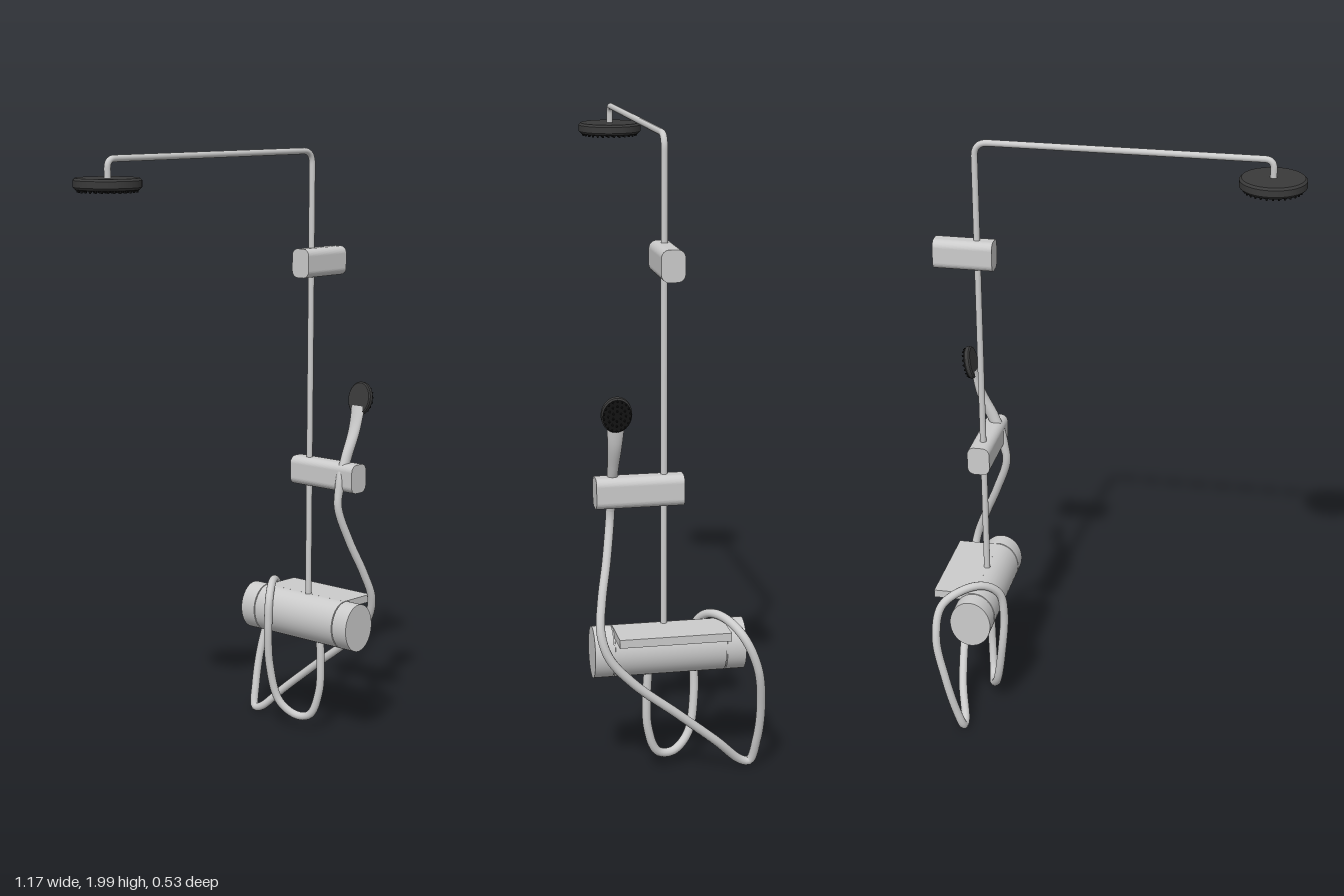
import * as THREE from 'three';

const grey = new THREE.MeshStandardMaterial({ color: 0xcccccc });
const dark = new THREE.MeshStandardMaterial({ color: 0x3a3a3a });
const black = new THREE.MeshStandardMaterial({ color: 0x151515 });
const V = (x, y, z) => new THREE.Vector3(x, y, z);
const POLE_X = 0.445, POLE_Z = 0.042;

function part(name, geometry, material = grey) {
  const mesh = new THREE.Mesh(geometry, material);
  mesh.name = name;
  return mesh;
}

// Bar with a rounded rectangular section, centred, running along z
function roundedBar(name, w, h, length, r) {
  const s = new THREE.Shape();
  const x = w / 2, y = h / 2, q = Math.PI / 2;
  s.absarc(x - r, y - r, r, 0, q);
  s.absarc(-x + r, y - r, r, q, 2 * q);
  s.absarc(-x + r, -y + r, r, 2 * q, 3 * q);
  s.absarc(x - r, -y + r, r, 3 * q, 4 * q);
  const g = new THREE.ExtrudeGeometry(s, { depth: length, bevelEnabled: false, curveSegments: 8 });
  return part(name, g.translate(0, 0, -length / 2));
}

// Pipe running through corners, each rounded by its own radius
function bentPipe(points, bends) {
  const path = new THREE.CurvePath();
  let from = points[0];
  bends.forEach((r, i) => {
    const c = points[i + 1];
    const a = c.clone().add(points[i].clone().sub(c).setLength(r));
    const b = c.clone().add(points[i + 2].clone().sub(c).setLength(r));
    path.add(new THREE.LineCurve3(from, a));
    path.add(new THREE.QuadraticBezierCurve3(a, c, b));
    from = b;
  });
  path.add(new THREE.LineCurve3(from, points[points.length - 1]));
  return new THREE.TubeGeometry(path, 300, 0.0105, 14);
}

// Spray head: disc facing -y with rings of nozzles
function sprayHead(name, radius, height, rings, nozzle) {
  const group = new THREE.Group();
  group.name = name;
  const h = height / 2, e = height * 0.2;
  const profile = [[0, -h], [radius - e, -h], [radius, -h + e], [radius, h - e], [radius - e, h], [0, h]];
  const points = [];
  // Repeated corners keep the edges crisp
  profile.forEach(([x, y], i) => {
    points.push(new THREE.Vector2(x, y));
    if (i > 0 && i < 5) points.push(new THREE.Vector2(x, y + 1e-5));
  });
  group.add(part('headDisc', new THREE.LatheGeometry(points, 40), dark));
  group.add(part('headFace', new THREE.CylinderGeometry(radius * 0.92, radius * 0.92, 0.004, 40).translate(0, -h, 0), black));
  for (let k = 1; k <= rings; k++) {
    const ringRadius = (radius * 0.86 * k) / rings;
    for (let i = 0; i < k * 6; i++) {
      const a = (i / (k * 6)) * Math.PI * 2;
      const n = part('nozzle', new THREE.CylinderGeometry(nozzle, nozzle * 0.7, nozzle * 2.4, 8), black);
      n.position.set(Math.cos(a) * ringRadius, -h - nozzle, Math.sin(a) * ringRadius);
      group.add(n);
    }
  }
  return group;
}

// Tube whose section (width in z, depth across) varies along a path lying in an x-y plane
function taperedTube(path, sizes, n = 24, sides = 18) {
  const pos = [], index = [];
  for (let i = 0; i <= n; i++) {
    const t = i / n, p = path.getPoint(t), d = path.getTangent(t);
    const f = t * (sizes.length - 1), k = Math.min(Math.floor(f), sizes.length - 2);
    const [w, m] = [0, 1].map(j => THREE.MathUtils.lerp(sizes[k][j], sizes[k + 1][j], f - k));
    for (let j = 0; j < sides; j++) {
      const a = (j / sides) * Math.PI * 2, c = Math.cos(a) * m;
      pos.push(p.x + d.y * c, p.y - d.x * c, p.z - Math.sin(a) * w);
      if (i < n) {
        const b = i * sides + j, b2 = i * sides + ((j + 1) % sides);
        index.push(b, b2, b + sides, b2, b2 + sides, b + sides);
      }
    }
  }
  const g = new THREE.BufferGeometry();
  g.setAttribute('position', new THREE.Float32BufferAttribute(pos, 3));
  g.setIndex(index);
  g.computeVertexNormals();
  return g;
}

export function createModel() {
  const model = new THREE.Group();
  model.name = 'showerSet';

  // Riser and overhead arm
  model.add(part('riserPipe', bentPipe([
    V(POLE_X, 0.45, POLE_Z), V(POLE_X, 1.989, POLE_Z),
    V(-0.482, 1.989, POLE_Z), V(-0.482, 1.92, POLE_Z)], [0.045, 0.028])));

  // Overhead spray
  const rain = sprayHead('overheadSpray', 0.104, 0.034, 5, 0.004);
  rain.position.set(-0.482, 1.916, POLE_Z);
  model.add(rain);

  // Wall bracket and handset bracket
  const wall = roundedBar('wallBracket', 0.072, 0.096, 0.192, 0.024);
  wall.rotation.y = Math.PI / 2;
  wall.position.set(0.486, 1.622, POLE_Z);
  const holder = roundedBar('handsetBracket', 0.074, 0.096, 0.27, 0.024);
  holder.position.set(0.449, 0.918, 0.12);
  model.add(wall, holder);

  // Mixer: oval barrel with a knob at each end, set off by narrow grooves
  const mixer = new THREE.Group();
  mixer.name = 'mixer';
  const barrel = (name, z0, z1, k) => {
    const g = new THREE.CylinderGeometry(k, k, z1 - z0, 40).rotateX(Math.PI / 2);
    const m = part(name, g.scale(0.068, 0.081, 1));
    m.position.set(POLE_X, 0.41, (z0 + z1) / 2);
    mixer.add(m);
  };
  barrel('mixerBody', -0.143, 0.203, 1);
  barrel('mixerCore', -0.2, 0.26, 0.94);
  barrel('rearKnob', -0.206, -0.147, 1);
  barrel('frontKnob', 0.207, 0.266, 1);
  const shelf = part('shelf', new THREE.BoxGeometry(0.137, 0.026, 0.346));
  shelf.position.set(0.5125, 0.478, 0.03);
  mixer.add(shelf);
  model.add(mixer);

  // Handset: curved handle widening into a tilted oval head
  const handset = new THREE.Group();
  handset.name = 'handset';
  const handlePath = new THREE.CatmullRomCurve3([
    V(0.408, 0.85, 0.2), V(0.424, 0.92, 0.2), V(0.452, 0.99, 0.2),
    V(0.488, 1.07, 0.2), V(0.508, 1.15, 0.2)]);
  handset.add(part('handle', taperedTube(handlePath,
    [[0.014, 0.014], [0.016, 0.018], [0.017, 0.02], [0.022, 0.015], [0.028, 0.008]])));
  const head = sprayHead('handsetHead', 0.05, 0.02, 3, 0.0035);
  head.scale.set(1.12, 1, 0.93);
  head.rotation.z = Math.PI / 2 - 0.2;
  head.position.set(0.518, 1.174, 0.2);
  handset.add(head);
  model.add(handset);

  // Hose: sweeps from the handset under the mixer, round its back and up into its underside
  const hosePath = new THREE.CatmullRomCurve3([
    V(0.415, 0.89, 0.2), V(0.407, 0.82, 0.202), V(0.447, 0.7, 0.22), V(0.494, 0.59, 0.243),
    V(0.528, 0.5, 0.252), V(0.541, 0.42, 0.228), V(0.539, 0.33, 0.15), V(0.525, 0.22, 0.015),
    V(0.502, 0.11, -0.115), V(0.474, 0.03, -0.2), V(0.473, 0.025, -0.228), V(0.495, 0.1, -0.245),
    V(0.525, 0.22, -0.25), V(0.556, 0.36, -0.232), V(0.545, 0.46, -0.19), V(0.48, 0.503, -0.145),
    V(0.42, 0.502, -0.105), V(0.375, 0.46, -0.075), V(0.363, 0.38, -0.068), V(0.374, 0.23, -0.07),
    V(0.398, 0.1, -0.045), V(0.425, 0.055, 0.01), V(0.437, 0.065, 0.06), V(0.447, 0.15, 0.092),
    V(0.45, 0.26, 0.096), V(0.45, 0.36, 0.09)]);
  model.add(part('hose', new THREE.TubeGeometry(hosePath, 260, 0.014, 12)));

  return model;
}
